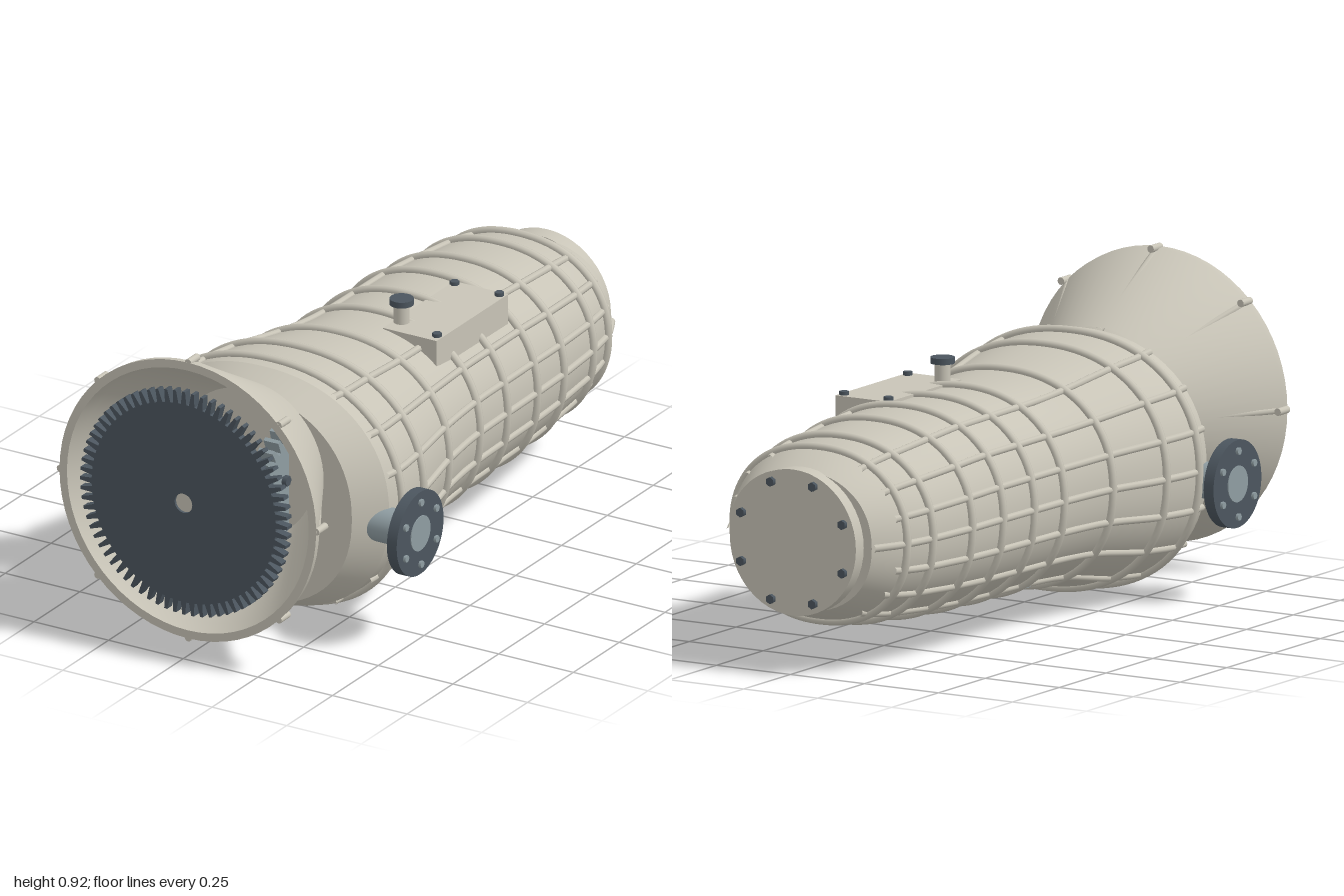
import * as THREE from 'three';
import { toCreasedNormals } from 'three/addons/utils/BufferGeometryUtils.js';

const mat = (name, color, side = THREE.FrontSide) => {
  const m = new THREE.MeshStandardMaterial({ color, side });
  m.name = name;
  return m;
};

// casing stations: z, half width, top y, bottom y
const STATIONS = [
  [0.65, 0.35, 0.71, 0.06], [0.56, 0.42, 0.75, 0.02], [0.5, 0.425, 0.745, 0.02],
  [0.35, 0.405, 0.73, 0.035], [0.14, 0.36, 0.695, 0.078], [0, 0.338, 0.682, 0.085],
  [-0.1, 0.33, 0.68, 0.086], [-0.4, 0.328, 0.677, 0.095], [-0.55, 0.322, 0.665, 0.105],
  [-0.73, 0.307, 0.648, 0.122], [-0.85, 0.287, 0.632, 0.14], [-0.945, 0.24, 0.59, 0.18],
];

function stationAt(z) {
  let i = 0;
  while (i < STATIONS.length - 2 && z < STATIONS[i + 1][0]) i++;
  const a = STATIONS[i], b = STATIONS[i + 1], t = (z - a[0]) / (b[0] - a[0]);
  return a.map((v, k) => v + (b[k] - v) * t);
}

// point on the casing skin, slightly squarer than an ellipse
function skin(z, angle, lift = 0) {
  const [, w, top, bottom] = stationAt(z), n = 2.2;
  const c = Math.cos(angle), s = Math.sin(angle);
  const k = (Math.abs(c) ** n + Math.abs(s) ** n) ** (-1 / n);
  return new THREE.Vector3(c * k * (w + lift), (top + bottom) / 2 + s * k * ((top - bottom) / 2 + lift), z);
}

function casingGeometry() {
  const N = 72, pos = [], idx = [];
  STATIONS.forEach(([z]) => {
    for (let j = 0; j < N; j++) pos.push(...skin(z, (j / N) * Math.PI * 2).toArray());
  });
  const rows = STATIONS.length, front = rows * N, back = front + 1, last = (rows - 1) * N;
  pos.push(0, 0.385, 0.65, 0, 0.385, -0.945);
  for (let j = 0; j < N; j++) {
    const k = (j + 1) % N;
    for (let i = 0; i < rows - 1; i++) {
      const a = i * N + j, b = i * N + k;
      idx.push(a, a + N, b, b, a + N, b + N);
    }
    idx.push(front, j, k, back, last + k, last + j);
  }
  const g = new THREE.BufferGeometry();
  g.setAttribute('position', new THREE.Float32BufferAttribute(pos, 3));
  g.setIndex(idx);
  return toCreasedNormals(g, 0.35);
}

// toothed wheel around z, starting at z = 0
function gearGeometry(rootR, tipR, teeth, depth, hole) {
  const pts = [], step = (Math.PI * 2) / teeth;
  for (let i = 0; i < teeth; i++) {
    [[-0.34, rootR], [-0.16, tipR], [0.16, tipR], [0.34, rootR]].forEach(([o, r]) => {
      const a = (i + o) * step;
      pts.push(new THREE.Vector2(Math.cos(a) * r, Math.sin(a) * r));
    });
  }
  const shape = new THREE.Shape(pts);
  if (hole) shape.holes.push(new THREE.Path().absarc(0, 0, hole, 0, Math.PI * 2, true));
  return new THREE.ExtrudeGeometry(shape, { depth, bevelEnabled: false, curveSegments: 24 });
}

export function createModel() {
  const cast = mat('cast metal', 0xc8c4b7);
  const castOpen = mat('cast metal shell', 0xc8c4b7, THREE.DoubleSide);
  const dark = mat('dark steel', 0x4c565f);
  const steel = mat('pale steel', 0x8f9da2);
  const model = new THREE.Group();
  const add = (parent, name, geo, material, x = 0, y = 0, z = 0) => {
    const m = new THREE.Mesh(geo, material);
    m.name = name;
    m.position.set(x, y, z);
    parent.add(m);
    return m;
  };
  const rod = (r, len, axis, seg = 32) => {
    const g = new THREE.CylinderGeometry(r, r, len, seg);
    if (axis === 'x') g.rotateZ(Math.PI / 2);
    if (axis === 'z') g.rotateX(Math.PI / 2);
    return g;
  };

  add(model, 'casing', casingGeometry(), cast);

  // hoop ribs around the casing
  const ribs = new THREE.Group();
  ribs.name = 'casingRibs';
  model.add(ribs);
  [0.505, 0.36, 0.145, -0.07, -0.225, -0.39, -0.545, -0.73, -0.84].forEach((z) => {
    const pts = Array.from({ length: 48 }, (_, j) => skin(z, (j / 48) * Math.PI * 2, 0.004));
    add(ribs, 'hoopRib', new THREE.TubeGeometry(new THREE.CatmullRomCurve3(pts, true), 96, 0.013, 8, true), cast);
  });

  // lengthwise ribs, mirrored left and right
  [0, 18, 37, 58, -18, -37, -58].forEach((deg) => {
    [1, -1].forEach((side) => {
      const a = THREE.MathUtils.degToRad(side > 0 ? deg : 180 - deg);
      const end = deg === 0 ? -0.94 : -0.87;
      const pts = Array.from({ length: 20 }, (_, i) => skin(0.555 + ((end - 0.555) * i) / 19, a, 0.001));
      add(ribs, 'lengthRib', new THREE.TubeGeometry(new THREE.CatmullRomCurve3(pts), 40, 0.011, 8), cast);
    });
  });

  // rear cover with bolts
  add(model, 'rearCover', rod(0.213, 0.05, 'z', 48), cast, 0, 0.385, -0.962);
  for (let i = 0; i < 8; i++) {
    const a = ((i + 0.5) * Math.PI) / 4;
    add(model, 'rearBolt', rod(0.014, 0.02, 'z', 6), dark, Math.cos(a) * 0.185, 0.385 + Math.sin(a) * 0.185, -0.99);
  }

  // bell housing
  const bell = new THREE.Group();
  bell.name = 'bellHousing';
  bell.position.y = 0.487;
  model.add(bell);
  const profile = [[0.25, 0.64], [0.428, 0.955], [0.43, 0.975], [0.405, 0.975], [0.39, 0.93], [0.225, 0.65]];
  const bellGeo = new THREE.LatheGeometry(profile.map((p) => new THREE.Vector2(...p)), 64).rotateX(Math.PI / 2);
  // the lathe's turn to z mirrors nothing, so the rim stays at the front
  add(bell, 'bellShell', toCreasedNormals(bellGeo, 0.5), castOpen);
  for (let i = 0; i < 8; i++) {
    const a = (i * Math.PI) / 4, c = Math.cos(a), s = Math.sin(a);
    const at = (r, z) => new THREE.Vector3(c * r, s * r, z);
    add(bell, 'bellRib', new THREE.TubeGeometry(new THREE.LineCurve3(at(0.24, 0.65), at(0.428, 0.968)), 1, 0.011, 8), cast);
    add(bell, 'rimLug', rod(0.011, 0.05, 'z', 12), cast, c * 0.429, s * 0.429, 0.949);
  }

  // flywheel with toothed rim and hub
  add(model, 'flywheel', gearGeometry(0.308, 0.347, 72, 0.026, 0.03), dark, 0, 0.487, 0.972);
  add(model, 'hubRing', new THREE.RingGeometry(0.03, 0.063, 40), dark, 0, 0.487, 0.9995);
  add(model, 'inputShaft', rod(0.03, 0.33, 'z'), cast, 0, 0.487, 0.825);

  // ring gear on the cross shaft, with bolts on its face
  add(model, 'ringGear', gearGeometry(0.25, 0.287, 48, 0.05).rotateY(Math.PI / 2), steel, 0.09, 0.35, 0.56);
  for (let i = 0; i < 8; i++) {
    const a = (i * Math.PI) / 4 - 0.77;
    add(model, 'ringGearBolt', rod(0.016, 0.02, 'x', 6), dark, 0.145, 0.35 + Math.sin(a) * 0.168, 0.56 + Math.cos(a) * 0.168);
  }

  // lower gear showing through the casing floor
  add(model, 'lowerGear', gearGeometry(0.155, 0.185, 36, 0.05), steel, -0.03, 0.25, 0.085);

  // output shafts with bolted flanges
  [1, -1].forEach((side) => {
    const out = new THREE.Group();
    out.name = side > 0 ? 'leftOutput' : 'rightOutput';
    model.add(out);
    add(out, 'outputShaft', rod(0.053, 0.526, 'x'), steel, side * 0.263, 0.35, 0.56);
    add(out, 'outputFlange', rod(0.128, 0.033, 'x', 48), dark, side * 0.507, 0.35, 0.56);
    for (let i = 0; i < 6; i++) {
      const a = (i * Math.PI) / 3 + Math.PI / 6;
      add(out, 'flangeBolt', rod(0.011, 0.05, 'x', 6), steel, side * 0.507, 0.35 + Math.sin(a) * 0.096, 0.56 + Math.cos(a) * 0.096);
    }
  });

  // top pad with bolts and breather
  add(model, 'topPad', new THREE.BoxGeometry(0.18, 0.16, 0.39), cast, 0.157, 0.603, -0.175);
  [[0.08, -0.35], [0.23, -0.35], [0.23, -0.01]].forEach(([x, z]) =>
    add(model, 'padBolt', rod(0.014, 0.014, 'y', 6), dark, x, 0.687, z));
  add(model, 'breatherTube', rod(0.023, 0.08, 'y', 24), cast, 0.09, 0.71, -0.045);
  add(model, 'breatherCap', rod(0.035, 0.018, 'y', 24), dark, 0.09, 0.748, -0.045);

  return model;
}
